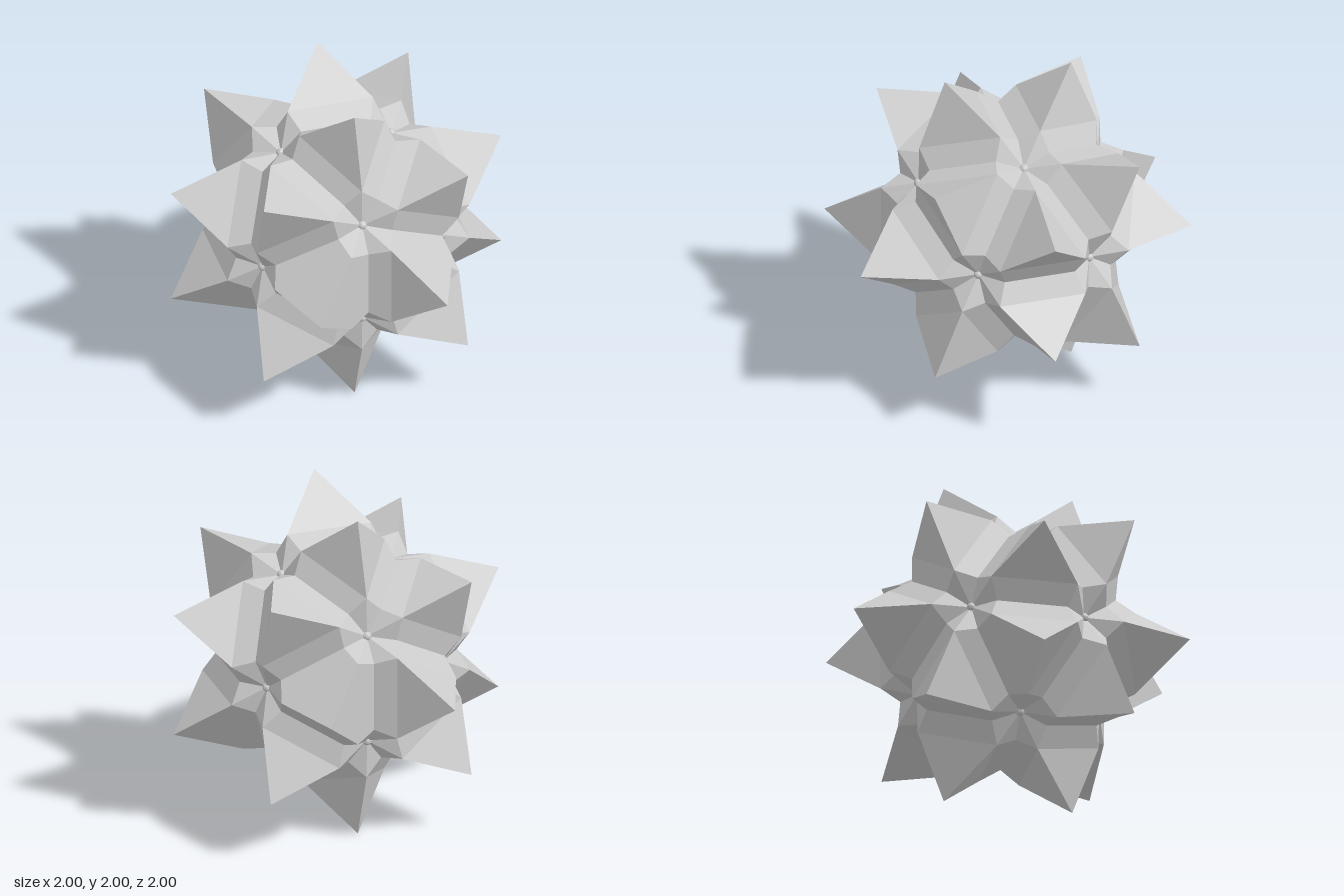
import * as THREE from 'three';

const PHI = (1 + Math.sqrt(5)) / 2;

// The three cyclic permutations of (0, ±a, ±b)
function cyclic(a, b) {
  const out = [];
  for (const s of [-1, 1]) for (const t of [-1, 1]) {
    const p = [0, s * a, t * b];
    for (let k = 0; k < 3; k++) out.push(new THREE.Vector3(p[k], p[(k + 1) % 3], p[(k + 2) % 3]));
  }
  return out;
}

// Adds a flat convex polygon as a fan, wound so that it faces away from the centre
function addFace(list, ...pts) {
  for (let i = 1; i < pts.length - 1; i++) {
    const [a, b, c] = [pts[0], pts[i], pts[i + 1]];
    const normal = b.clone().sub(a).cross(c.clone().sub(a));
    const outward = normal.dot(a.clone().add(b).add(c)) > 0;
    for (const p of outward ? [a, b, c] : [a, c, b]) list.push(p);
  }
}

export function createModel() {
  const group = new THREE.Group();
  const material = new THREE.MeshStandardMaterial({ color: 0xcccccc, flatShading: true });

  // Spike tips: corners of a dodecahedron
  const tips = cyclic(1, 2 - PHI);
  const c = PHI - 1;
  for (const x of [-c, c]) for (const y of [-c, c]) for (const z of [-c, c]) tips.push(new THREE.Vector3(x, y, z));

  // Hub axes: corners of an icosahedron, each among five spikes
  const hubs = cyclic(1, PHI).map((v) => v.normalize());
  const HUB_RADIUS = 0.636;

  // Point at a height along a hub axis, pushed sideways towards a target
  const around = (hub, target, height, offset) => {
    const side = target.clone().addScaledVector(hub, -target.dot(hub)).normalize();
    return hub.clone().multiplyScalar(height).addScaledVector(side, offset);
  };

  const parts = { spikes: [], grooves: [], dishes: [] };
  for (const tip of tips) for (const next of tips) {
    if (tip === next || tip.distanceTo(next) > 0.8) continue;
    const middle = tip.clone().add(next);
    const pair = hubs.filter((h) => h.dot(tip) > 0.8 && h.dot(next) > 0.8);
    const [r1, r2] = pair.map((h) => around(h, tip, 0.758, 0.205)); // feet of the spike's ridges
    const [v1, v2] = pair.map((h) => around(h, middle, 0.678, 0.171)); // ends of the valley
    addFace(parts.spikes, tip, r1, r2);
    addFace(parts.grooves, r1, r2, v2, v1);
    addFace(parts.dishes, r1, v1, pair[0].clone().multiplyScalar(HUB_RADIUS));
    addFace(parts.dishes, r2, v2, pair[1].clone().multiplyScalar(HUB_RADIUS));
  }

  for (const [name, points] of Object.entries(parts)) {
    const geometry = new THREE.BufferGeometry().setFromPoints(points);
    geometry.computeVertexNormals();
    const mesh = new THREE.Mesh(geometry, material);
    mesh.name = name;
    group.add(mesh);
  }

  // Small faceted stud in the middle of each dish
  const studGeometry = new THREE.IcosahedronGeometry(0.028, 1);
  const studs = new THREE.Group();
  studs.name = 'studs';
  for (const hub of hubs) {
    const stud = new THREE.Mesh(studGeometry, material);
    stud.name = 'stud';
    stud.position.copy(hub).multiplyScalar(HUB_RADIUS);
    studs.add(stud);
  }
  group.add(studs);

  for (const child of group.children) child.position.y = 1;
  group.name = 'spikedStar';
  return group;
}
